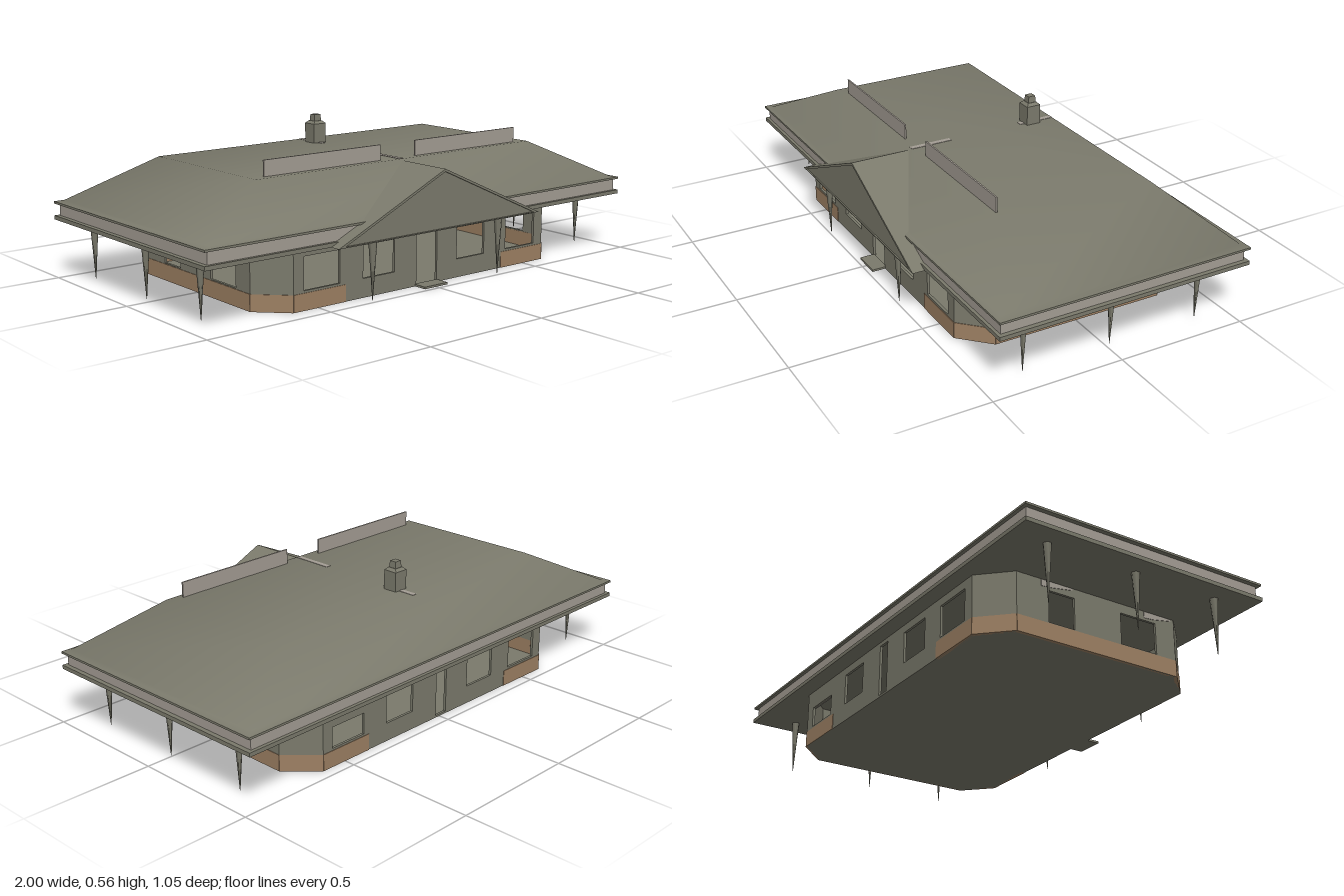
import * as THREE from 'three';

const mat = (name, color) => {
  const m = new THREE.MeshStandardMaterial({ color });
  m.name = name;
  return m;
};

const rect = (P, u0, u1, y0, y1) => {
  const s = new P();
  s.moveTo(u0, y0);
  s.lineTo(u1, y0);
  s.lineTo(u1, y1);
  s.lineTo(u0, y1);
  s.closePath();
  return s;
};

const poly = (P, pts) => new P(pts.map(([x, y]) => new THREE.Vector2(x, y)));

export function createModel() {
  const model = new THREE.Group();
  model.name = 'bungalow';
  const stone = mat('olive grey', 0x7b7a6c);
  const trim = mat('pale fascia', 0xa49d94);
  const brown = mat('brown base', 0x9d8063);

  const add = (name, geo, material, x = 0, y = 0, z = 0, parent = model) => {
    const m = new THREE.Mesh(geo, material);
    m.name = name;
    m.position.set(x, y, z);
    parent.add(m);
    return m;
  };
  const box = (name, material, x0, x1, y0, y1, z0, z1, parent = model) =>
    add(name, new THREE.BoxGeometry(x1 - x0, y1 - y0, z1 - z0), material,
      (x0 + x1) / 2, (y0 + y1) / 2, (z0 + z1) / 2, parent);
  const extrude = (shape, depth) => new THREE.ExtrudeGeometry(shape, { depth, bevelEnabled: false });

  // Footprint with cut corners, walked so each wall runs left to right from outside
  const plan = [[-0.605, 0.43], [0.605, 0.43], [0.71, 0.325], [0.71, -0.35],
    [0.605, -0.457], [-0.605, -0.457], [-0.71, -0.35], [-0.71, 0.325]];
  const names = ['frontWall', 'frontLeftCorner', 'leftWall', 'backLeftCorner',
    'backWall', 'backRightCorner', 'rightWall', 'frontRightCorner'];

  // Openings per wall: start, end, bottom, top
  const openings = {
    frontWall: [[0.045, 0.2, 0.07, 0.19], [0.305, 0.45, 0.07, 0.19], [0.555, 0.655, 0.004, 0.21],
      [0.755, 0.895, 0.07, 0.19], [1.01, 1.165, 0.07, 0.19]],
    backWall: [[0.045, 0.2, 0.07, 0.15], [0.315, 0.455, 0.07, 0.19], [0.585, 0.64, 0.008, 0.205],
      [0.76, 0.905, 0.07, 0.19], [1.01, 1.165, 0.07, 0.19]],
    leftWall: [[0.085, 0.24, 0.066, 0.185], [0.388, 0.492, 0.066, 0.185]],
    rightWall: [[0.13, 0.237, 0.066, 0.185], [0.435, 0.59, 0.066, 0.185]],
  };

  // Walls with openings and a brown base course on both faces
  plan.forEach(([ax, az], i) => {
    const [bx, bz] = plan[(i + 1) % plan.length];
    const length = Math.hypot(bx - ax, bz - az);
    const wall = new THREE.Group();
    wall.name = names[i];
    wall.position.set(ax, 0, az);
    wall.rotation.y = Math.atan2(az - bz, bx - ax);
    model.add(wall);
    const shape = rect(THREE.Shape, 0, length, 0, 0.225);
    for (const o of openings[names[i]] || []) shape.holes.push(rect(THREE.Path, ...o));
    add('wallPanel', extrude(shape, 0.01), stone, 0, 0, -0.01, wall);
    const long = names[i] === 'frontWall' || names[i] === 'backWall';
    const courses = long ? [[0, 0.225], [length - 0.225, length]] : [[0, length]];
    for (const [u0, u1] of courses) box('baseCourse', brown, u0, u1, 0, 0.062, -0.011, 0.002, wall);
  });

  // Pale blind inside the back window
  box('windowBlind', trim, 0.405, 0.56, 0.15, 0.187, -0.446, -0.443);

  // Floor
  const floor = extrude(poly(THREE.Shape, plan.map(([x, z]) => [x, -z])), 0.003);
  floor.rotateX(-Math.PI / 2);
  add('floor', floor, stone);

  // Main roof: eaves slightly turned against the walls
  const roof = new THREE.Group();
  roof.name = 'mainRoof';
  roof.rotation.y = 0.0055;
  model.add(roof);
  box('lowerLip', stone, -0.997, 0.997, 0.22, 0.235, -0.518, 0.482, roof);
  box('fascia', trim, -0.98, 0.98, 0.23, 0.284, -0.505, 0.47, roof);
  box('upperLip', stone, -0.997, 0.997, 0.28, 0.288, -0.518, 0.482, roof);
  const ring = (x, y, front, back) => [-x, y, front, x, y, front, x, y, back, -x, y, back];
  const index = [8, 9, 10, 8, 10, 11];
  for (const base of [0, 4]) {
    for (let i = 0; i < 4; i++) {
      const a = base + i, b = base + (i + 1) % 4;
      index.push(a, b, b + 4, a, b + 4, a + 4);
    }
  }
  const slopes = new THREE.BufferGeometry();
  slopes.setAttribute('position', new THREE.Float32BufferAttribute([
    ...ring(0.997, 0.288, 0.482, -0.518),
    ...ring(0.965, 0.293, 0.462, -0.495),
    ...ring(0.66, 0.445, 0.29, -0.325)], 3));
  slopes.setIndex(index);
  slopes.computeVertexNormals();
  add('roofSlopes', slopes, stone, 0, 0, 0, roof);

  // Pale slivers of ridge capping along the roof's middle
  for (const [z0, z1] of [[0.12, 0.285], [-0.325, -0.18]]) {
    box('ridgeCap', trim, -0.01, 0.01, 0.443, 0.4465, z0, z1);
  }

  // Porch gable and its raking edge
  const outer = [[-0.485, 0.22], [0.485, 0.22], [0, 0.44]];
  add('porchRoof', extrude(poly(THREE.Shape, outer), 0.23), stone, 0, 0, 0.29);
  const rake = poly(THREE.Shape, outer);
  rake.holes.push(poly(THREE.Path, [[-0.455, 0.224], [0, 0.43], [0.455, 0.224]]));
  add('porchRake', extrude(rake, 0.005), stone, 0, 0, 0.52);

  const post = new THREE.CylinderGeometry(0.016, 0.001, 0.215, 6);
  for (const side of [-1, 1]) {
    // Tapered posts
    add('porchPost', post, stone, side * 0.305 - 0.004, 0.1125, 0.492);
    for (const z of [0.335, -0.01, -0.37]) add('sidePost', post, stone, side * 0.91 - 0.004, 0.1175, z);
    // Upright panels on the roof
    const [x0, x1] = side < 0 ? [-0.605, -0.085] : [0.085, 0.605];
    box('roofPanel', trim, x0, x1, 0.44, 0.503, 0.261, 0.267);
    // Pale wedges at the top of the side walls
    for (const [z0, z1] of [[0.19, 0.31], [-0.25, -0.12]]) {
      const wedge = poly(THREE.Shape, [[-z1, 0.212], [-z0 - 0.04, 0.197], [-z0, 0.194], [-z0, 0.218], [-z1, 0.218]]);
      const geo = extrude(wedge, 0.004).rotateY(Math.PI / 2);
      add('wallHeadTrim', geo, trim, side * 0.71 - 0.002);
    }
  }

  // Chimney with a tapered pot
  box('chimneyStack', stone, -0.029, 0.029, 0.43, 0.52, -0.257, -0.2);
  const taper = (r0, r1, h) => {
    const g = new THREE.CylinderGeometry(r1 * Math.SQRT2, r0 * Math.SQRT2, h, 4)
      .rotateY(Math.PI / 4).toNonIndexed();
    g.computeVertexNormals();
    return g;
  };
  add('chimneyShoulder', taper(0.029, 0.018, 0.01), stone, 0, 0.525, -0.2285);
  add('chimneyPot', taper(0.016, 0.014, 0.025), stone, 0, 0.5425, -0.2285);

  // Door step
  box('doorStep', stone, -0.055, 0.055, 0, 0.008, 0.425, 0.483);

  return model;
}
